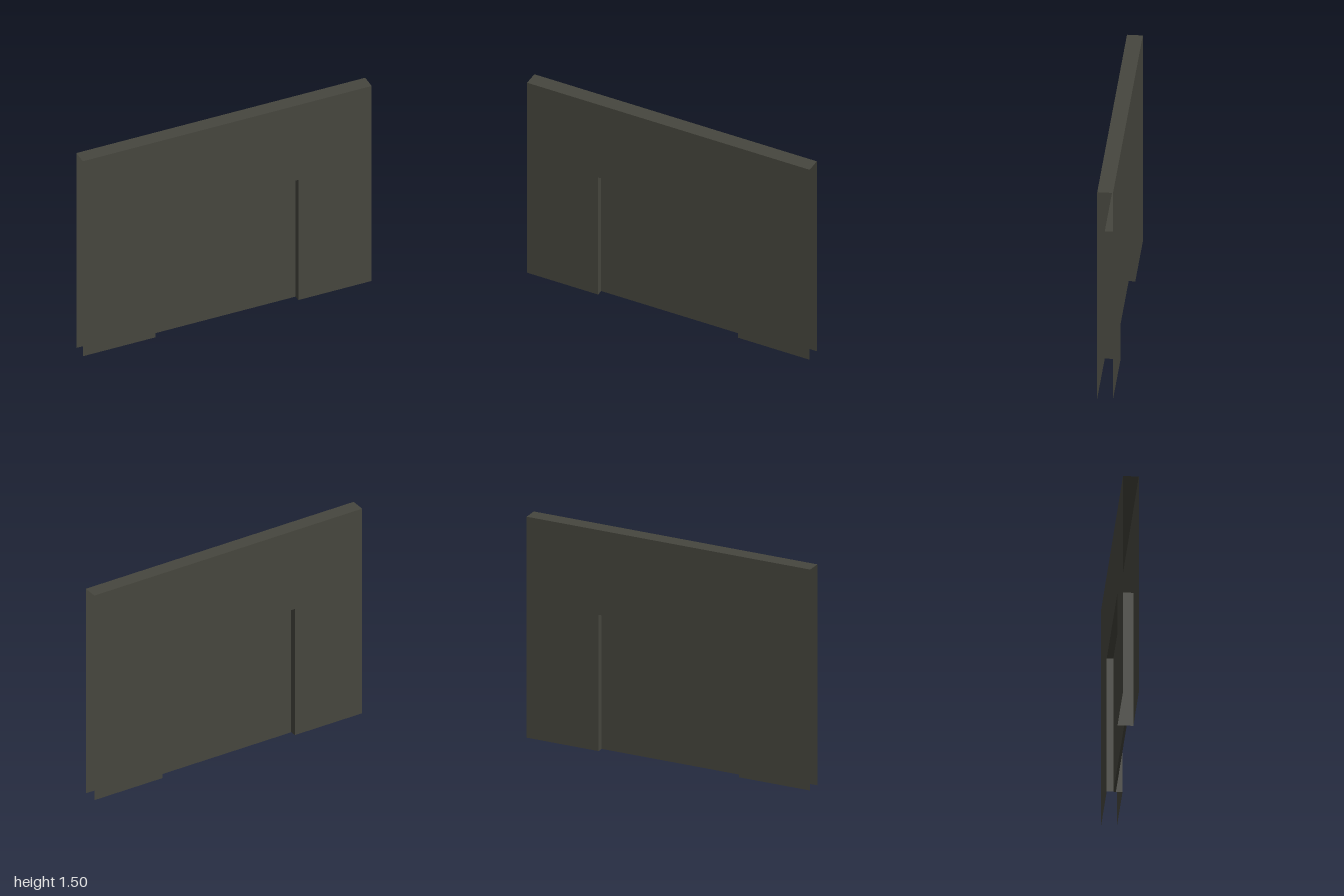
import * as THREE from 'three';

// Overall wall and doorway dimensions
const HALF_W = 1, HEIGHT = 1.5, HALF_D = 0.05;
const DOOR_MIN = -0.497, DOOR_MAX = 0.492, DOOR_H = 0.925, DOOR_T = 0.016;

export function createModel() {
  const group = new THREE.Group();
  group.name = 'wallWithDoor';
  const paint = new THREE.MeshStandardMaterial({ color: 0x46463e, side: THREE.DoubleSide });
  paint.name = 'dark olive grey';

  const add = (name, geometry, x = 0, y = 0, z = 0, rx = 0, ry = 0) => {
    const mesh = new THREE.Mesh(geometry, paint);
    mesh.name = name;
    mesh.position.set(x, y, z);
    mesh.rotation.set(rx, ry, 0);
    group.add(mesh);
  };

  // Wall sheet with a doorway notch running down to the floor
  const wallSheet = (min, max) => new THREE.ShapeGeometry(new THREE.Shape([
    [-HALF_W, 0], [min, 0], [min, DOOR_H], [max, DOOR_H],
    [max, 0], [HALF_W, 0], [HALF_W, HEIGHT], [-HALF_W, HEIGHT],
  ].map(([x, y]) => new THREE.Vector2(x, y))));

  add('frontWall', wallSheet(DOOR_MIN, DOOR_MAX), 0, 0, HALF_D);
  add('backWall', wallSheet(-DOOR_MAX, -DOOR_MIN), 0, 0, -HALF_D, 0, Math.PI);

  // Top cap; the ends and the underside of the wall stay open
  add('wallTop', new THREE.PlaneGeometry(2 * HALF_W, 2 * HALF_D), 0, HEIGHT, 0, -Math.PI / 2);

  // Doorway lining
  const doorW = DOOR_MAX - DOOR_MIN, doorX = (DOOR_MAX + DOOR_MIN) / 2;
  const jamb = new THREE.PlaneGeometry(2 * HALF_D, DOOR_H);
  add('rightJamb', jamb, DOOR_MIN, DOOR_H / 2, 0, 0, Math.PI / 2);
  add('leftJamb', jamb, DOOR_MAX, DOOR_H / 2, 0, 0, -Math.PI / 2);
  add('lintel', new THREE.PlaneGeometry(doorW, 2 * HALF_D), doorX, DOOR_H, 0, Math.PI / 2);

  // Thin door panel set midway in the opening
  add('doorPanel', new THREE.BoxGeometry(doorW, DOOR_H, DOOR_T), doorX, DOOR_H / 2, 0);

  return group;
}
